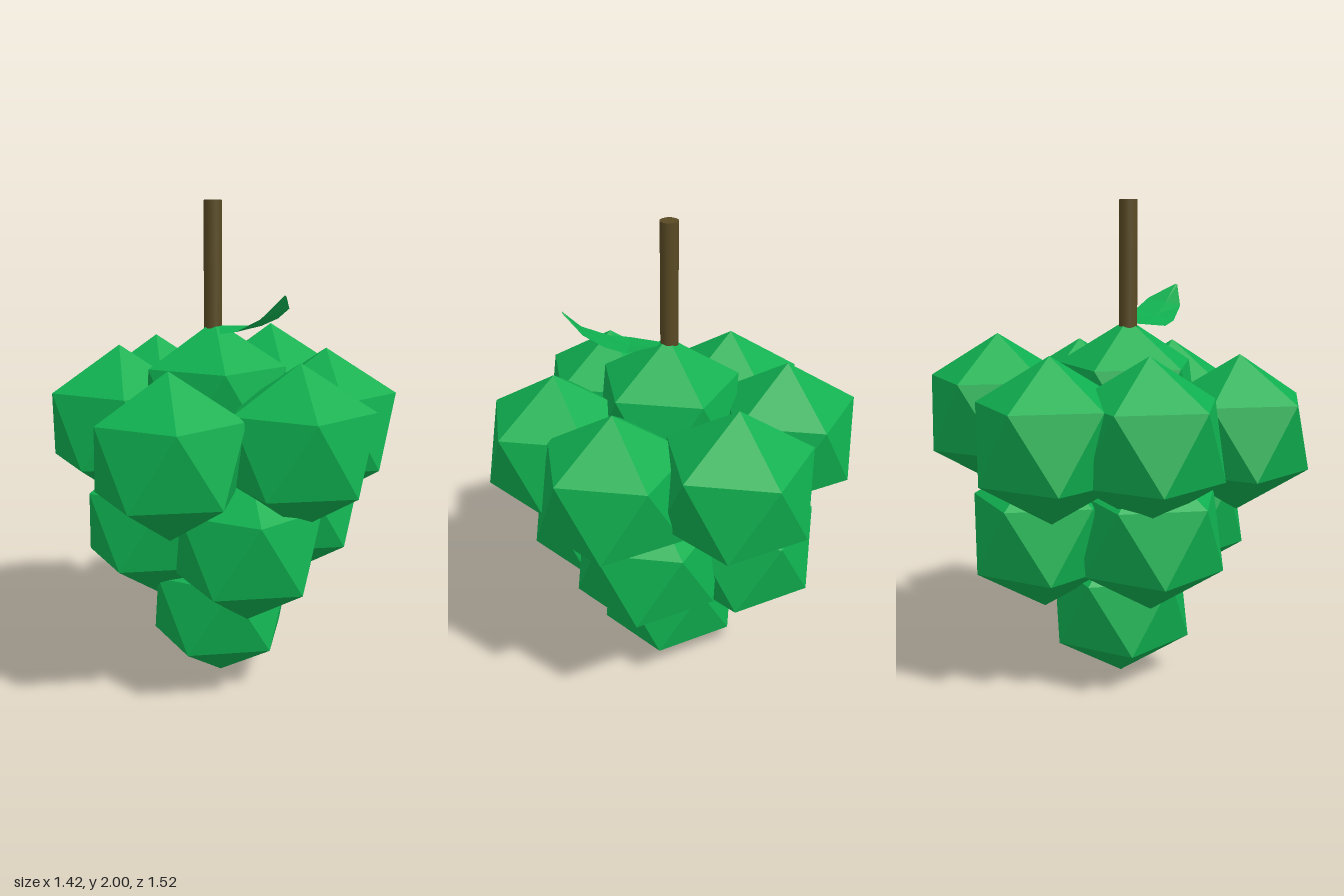
import * as THREE from 'three';
import { ConvexGeometry } from 'three/addons/geometries/ConvexGeometry.js';

const R = 0.325;

// Icosahedron standing on one corner: two poles and two rings of five
function berryGeometry() {
  const ringY = R / Math.sqrt(5), ringR = 2 * ringY;
  const points = [new THREE.Vector3(0, R, 0), new THREE.Vector3(0, -R, 0)];
  for (let i = 0; i < 5; i++) {
    const a = (i * Math.PI * 2) / 5;
    points.push(new THREE.Vector3(ringR * Math.cos(a), ringY, ringR * Math.sin(a)));
    points.push(new THREE.Vector3(-ringR * Math.cos(a), -ringY, ringR * Math.sin(a)));
  }
  return new ConvexGeometry(points);
}

// Curled leaf: cross rows of left edge, midrib, right edge
function leafGeometry() {
  const rows = [
    [[0, 1.51, 0.06], [0.01, 1.51, 0.05], [0.04, 1.51, 0.04]],
    [[0.03, 1.495, 0.2], [0.1, 1.5, 0.13], [0.175, 1.515, 0.07]],
    [[0.1, 1.51, 0.25], [0.17, 1.53, 0.19], [0.245, 1.55, 0.115]],
    [[0.2, 1.565, 0.3], [0.24, 1.58, 0.245], [0.295, 1.595, 0.18]],
    [[0.285, 1.65, 0.305], [0.29, 1.655, 0.3], [0.295, 1.65, 0.295]],
  ];
  const index = [];
  for (let r = 0; r < rows.length - 1; r++) {
    for (let c = 0; c < 2; c++) {
      const a = r * 3 + c, b = a + 3;
      index.push(a, b, a + 1, a + 1, b, b + 1);
    }
  }
  const g = new THREE.BufferGeometry();
  g.setAttribute('position', new THREE.Float32BufferAttribute(rows.flat(2), 3));
  g.setIndex(index);
  const flat = g.toNonIndexed();
  flat.computeVertexNormals();
  return flat;
}

export function createModel() {
  const model = new THREE.Group();
  model.name = 'berryCluster';

  const green = new THREE.MeshStandardMaterial({ color: 0x10b050, flatShading: true });
  green.name = 'berryGreen';
  green.side = THREE.DoubleSide;
  const brown = new THREE.MeshStandardMaterial({ color: 0x594a24 });
  brown.name = 'stemBrown';

  // Berries, layer by layer
  const layers = {
    topBerry: [[-0.02, 1.205, 0.035]],
    upperBerry: [
      [0.145, 1.14, -0.485], [0.42, 1.085, -0.11], [0.353, 1.08, 0.3],
      [-0.115, 1.065, 0.48], [-0.415, 1.1, 0.05], [-0.345, 1.1, -0.315],
    ],
    middleBerry: [
      [0.155, 0.685, 0.285], [0.287, 0.74, -0.155],
      [-0.1, 0.68, -0.325], [-0.26, 0.7, 0.09],
    ],
    bottomBerry: [[0, R, 0.01]],
  };
  const berry = berryGeometry();
  for (const [name, centres] of Object.entries(layers)) {
    for (const c of centres) {
      const mesh = new THREE.Mesh(berry, green);
      mesh.name = name;
      mesh.position.set(...c);
      model.add(mesh);
    }
  }

  // Stem
  const stem = new THREE.Mesh(new THREE.CylinderGeometry(0.037, 0.037, 0.52, 12), brown);
  stem.name = 'stem';
  stem.position.set(-0.027, 1.74, 0.035);
  model.add(stem);

  // Leaf
  const leaf = new THREE.Mesh(leafGeometry(), green);
  leaf.name = 'leaf';
  model.add(leaf);

  return model;
}
